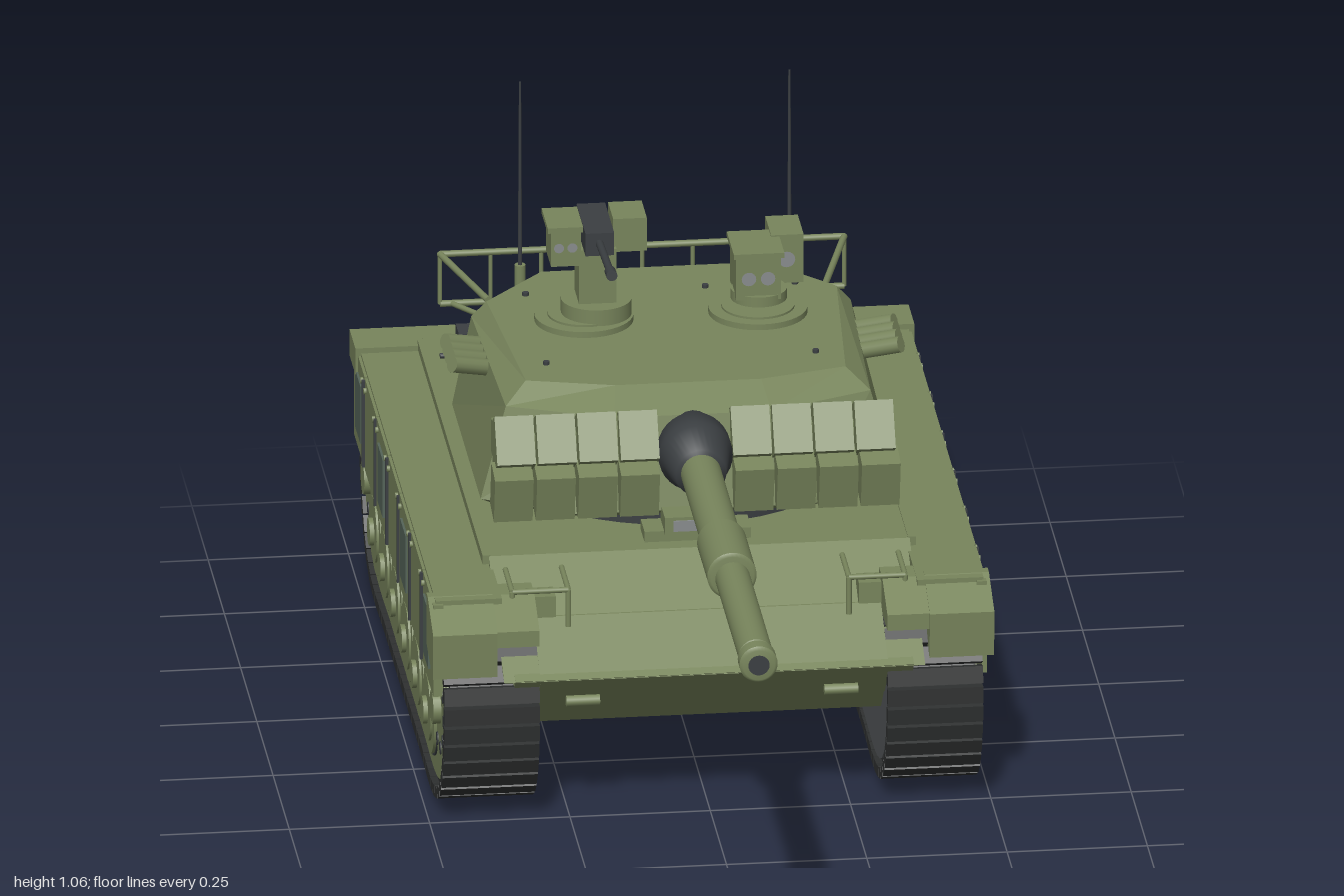
import * as THREE from 'three';

const mat = (name, color, side = THREE.FrontSide) => {
  const m = new THREE.MeshStandardMaterial({ color, side });
  m.name = name;
  return m;
};

export function createModel() {
  const root = new THREE.Group();
  root.name = 'tank';
  const olive = mat('olive paint', 0x78855c);
  const dark = mat('gun metal', 0x3b3f42);
  const rubber = mat('track rubber', 0x2f3131);
  const panelGrey = mat('panel grey', 0x556459);
  const plateGrey = mat('plate grey', 0x54585a);
  const lens = mat('lens grey', 0x888c8d);

  const add = (name, geo, m, x = 0, y = 0, z = 0, parent = root) => {
    const mesh = new THREE.Mesh(geo, m);
    mesh.name = name;
    mesh.position.set(x, y, z);
    parent.add(mesh);
    return mesh;
  };
  // box given by its x, y and z limits
  const box = (name, m, x0, x1, y0, y1, z0, z1) =>
    add(name, new THREE.BoxGeometry(Math.abs(x1 - x0), y1 - y0, z1 - z0), m, (x0 + x1) / 2, (y0 + y1) / 2, (z0 + z1) / 2);
  const cylX = (name, m, r, w, x, y, z, n = 28) =>
    add(name, new THREE.CylinderGeometry(r, r, w, n).rotateZ(Math.PI / 2), m, x, y, z);
  const cylY = (name, m, r, h, x, y, z, n = 32) => add(name, new THREE.CylinderGeometry(r, r, h, n), m, x, y, z);
  // round bar between two points
  const bar = (name, m, a, b, r, r2 = r) => {
    const A = new THREE.Vector3(...a), B = new THREE.Vector3(...b), d = B.clone().sub(A);
    const mesh = add(name, new THREE.CylinderGeometry(r2, r, d.length(), 12), m);
    mesh.position.copy(A).addScaledVector(d, 0.5);
    mesh.quaternion.setFromUnitVectors(new THREE.Vector3(0, 1, 0), d.normalize());
    return mesh;
  };
  // side profile of [z, y] points extruded across x
  const prism = (name, m, pts, w, x = 0) => {
    const shape = new THREE.Shape(pts.map(p => new THREE.Vector2(p[0], p[1])));
    const g = new THREE.ExtrudeGeometry(shape, { depth: w, bevelEnabled: false });
    return add(name, g.translate(0, 0, -w / 2).rotateY(-Math.PI / 2), m, x);
  };
  // symmetric loft: each level is [y, half outline of [x, z] from front to back]
  const loft = (levels) => {
    const rings = levels.map(([y, half]) => [
      ...half.map(([x, z]) => [x, y, z]), ...half.slice().reverse().map(([x, z]) => [-x, y, z])]);
    const v = [], n = rings[0].length;
    const tri = (a, b, c) => v.push(...a, ...b, ...c);
    for (let k = 0; k + 1 < rings.length; k++)
      for (let i = 0; i < n; i++) {
        const j = (i + 1) % n, lo = rings[k], hi = rings[k + 1];
        tri(lo[i], lo[j], hi[j]);
        tri(lo[i], hi[j], hi[i]);
      }
    const top = rings[rings.length - 1], bot = rings[0];
    for (let i = 1; i + 1 < n; i++) {
      tri(top[0], top[i], top[i + 1]);
      tri(bot[0], bot[i + 1], bot[i]);
    }
    const g = new THREE.BufferGeometry();
    g.setAttribute('position', new THREE.Float32BufferAttribute(v, 3));
    g.computeVertexNormals();
    return g;
  };

  // Hull: narrow lower tub, wide upper body with sloped front
  prism('lowerHull', olive, [[0.2, 0.16], [0.32, 0.285], [0.2, 0.36], [-0.95, 0.36], [-0.95, 0.3], [-0.9, 0.16]], 0.62);
  prism('upperHull', olive, [[0.32, 0.285], [0.08, 0.43], [-0.98, 0.425], [-1, 0.41], [-0.98, 0.335], [0.2, 0.335]], 0.75);
  prism('nosePlate', olive, [[0.24, 0.205], [0.32, 0.287], [0.2, 0.345], [0.2, 0.205]], 0.71);

  // Running gear
  const path = new THREE.CatmullRomCurve3([
    [0.14, 0.012], [0.24, 0.06], [0.295, 0.17], [0.285, 0.28], [0.2, 0.345], [0, 0.355], [-0.35, 0.355], [-0.7, 0.355],
    [-0.9, 0.345], [-0.98, 0.28], [-0.99, 0.17], [-0.935, 0.06], [-0.84, 0.012], [-0.6, 0.01], [-0.35, 0.01], [-0.1, 0.01],
  ].map(([z, y]) => new THREE.Vector3(0, y, z)), true);
  const links = 84;
  const inset = d => path.getSpacedPoints(72).slice(0, 72).map(p =>
    [-0.35 + (p.z + 0.35) * (1 - d / 0.65), 0.18 + (p.y - 0.18) * (1 - d / 0.17)]);
  const linkGeo = new THREE.BoxGeometry(0.17, 0.02, 0.031);

  for (const s of [-1, 1]) {
    for (let i = 0; i < links; i++) {
      const p = path.getPointAt(i / links), t = path.getTangentAt(i / links);
      add('trackLink', linkGeo, rubber, s * 0.395, p.y, p.z).rotation.x = -Math.atan2(t.y, t.z);
    }
    prism('trackBelt', rubber, inset(0.004), 0.145, s * 0.395);
    prism('innerTrackPlate', plateGrey, inset(0.022), 0.02, s * 0.322);
    prism('outerTrackPlate', olive, inset(0.02), 0.02, s * 0.462);

    for (let i = 0; i < 6; i++) {
      const z = 0.063 - i * 0.165;
      cylX('wheelRim', dark, 0.087, 0.006, s * 0.472, 0.14, z);
      cylX('roadWheel', olive, 0.083, 0.012, s * 0.474, 0.14, z);
      cylX('wheelDish', olive, 0.06, 0.014, s * 0.477, 0.14, z);
      cylX('wheelHub', olive, 0.025, 0.03, s * 0.477, 0.135, z, 16);
    }
    // Sprocket and idler with a ring of dark holes
    for (const z of [0.185, -0.88]) {
      cylX('endWheel', olive, 0.095, 0.008, s * 0.471, 0.19, z);
      cylX('endWheelHub', olive, 0.03, 0.028, s * 0.475, 0.19, z, 16);
      for (let i = 0; i < 10; i++) {
        const a = i * Math.PI / 5;
        cylX('wheelHole', dark, 0.012, 0.004, s * 0.475, 0.19 + 0.073 * Math.sin(a), z + 0.073 * Math.cos(a), 10);
      }
    }

    // Side skirts with straps and grey inset panels
    const cuts = [0.25, 0.08, -0.1, -0.275, -0.45, -0.63, -0.81, -0.975];
    for (let i = 0; i < 7; i++) {
      box('skirtPanel', olive, s * 0.475, s * 0.493, 0.235, 0.41, cuts[i + 1] + 0.003, cuts[i] - 0.003);
      if (i) box('skirtStrap', dark, s * 0.476, s * 0.498, 0.24, 0.405, cuts[i] - 0.004, cuts[i] + 0.004);
      if (i % 2 === 0) {
        const c = [0.16, 0, -0.19, 0, -0.54, 0, -0.885][i];
        box('skirtInset', panelGrey, s * 0.492, s * 0.497, 0.27, 0.38, c - 0.042, c + 0.042);
      }
      for (const z of [cuts[i] - 0.025, cuts[i + 1] + 0.025])
        cylX('skirtBolt', olive, 0.006, 0.008, s * 0.494, 0.395, z, 8);
    }
    // Fenders: long shelf, sloped front guard, rear corner box
    box('fender', olive, s * 0.37, s * 0.488, 0.38, 0.415, -0.98, 0.24);
    box('fenderRail', olive, s * 0.372, s * 0.386, 0.41, 0.432, -0.92, 0.08);
    prism('frontGuard', olive, [[0.3, 0.345], [0.3, 0.375], [0.22, 0.414], [0.17, 0.414], [0.17, 0.345]], 0.17, s * 0.395);
    prism('frontGuardSide', olive, [[0.3, 0.29], [0.305, 0.375], [0.22, 0.416], [0.2, 0.416], [0.2, 0.32]], 0.115, s * 0.4425);
    box('rearCornerBox', olive, s * 0.31, s * 0.498, 0.375, 0.425, -1, -0.91);

    // Headlight guard, lamp and tow hook on the bow
    for (const [a, b] of [[[0.25, 0.35, 0.225], [0.25, 0.42, 0.225]], [[0.25, 0.42, 0.225], [0.35, 0.42, 0.225]],
      [[0.35, 0.42, 0.225], [0.35, 0.35, 0.225]], [[0.25, 0.42, 0.225], [0.25, 0.42, 0.12]], [[0.35, 0.42, 0.225], [0.35, 0.42, 0.12]]])
      bar('lampGuard', olive, [s * a[0], a[1], a[2]], [s * b[0], b[1], b[2]], 0.005);
    box('headlamp', olive, s * 0.27, s * 0.33, 0.36, 0.4, 0.16, 0.205);
    bar('towHook', olive, [s * 0.2, 0.228, 0.275], [s * 0.26, 0.228, 0.275], 0.01);

    // Rear deck louvres and dark stowage box
    for (let i = 0; i < 11; i++) box('louvre', olive, s * 0.15, s * 0.3, 0.42, 0.452, -0.885 + i * 0.019, -0.874 + i * 0.019);
    box('deckBox', dark, s * 0.19, s * 0.325, 0.455, 0.485, -0.86, -0.81);
    bar('deckRod', dark, [s * 0.03, 0.45, -0.8], [s * 0.36, 0.45, -0.8], 0.005);
  }

  // Turret
  cylY('turretRing', dark, 0.325, 0.06, 0, 0.45, -0.35, 48);
  add('turretBody', loft([
    [0.465, [[0.2, 0], [0.35, -0.08], [0.35, -0.5], [0.21, -0.68]]],
    [0.478, [[0.21, 0.02], [0.372, -0.07], [0.372, -0.51], [0.22, -0.7]]],
    [0.645, [[0.14, -0.015], [0.325, -0.09], [0.338, -0.51], [0.215, -0.652]]],
    [0.676, [[0.13, -0.09], [0.285, -0.13], [0.312, -0.5], [0.2, -0.625]]],
  ]), olive);

  // Two rows of armour blocks either side of the gun
  for (const s of [-1, 1]) {
    for (let i = 0; i < 4; i++) {
      const x = s * (0.1 + i * 0.0735);
      add('upperArmourBlock', new THREE.BoxGeometry(0.069, 0.088, 0.06), olive, x, 0.608, -0.008).rotation.x = -0.55;
      add('lowerArmourBlock', new THREE.BoxGeometry(0.069, 0.088, 0.06), olive, x * 1.02, 0.528, 0.022).rotation.x = 0.22;
    }
    box('armourBracket', olive, s * 0.06, s * 0.35, 0.5, 0.62, -0.1, -0.01);
    // Smoke launchers
    for (let i = 0; i < 4; i++) {
      const z = -0.29 - i * 0.035;
      bar('smokeLauncher', olive, [s * 0.325, 0.628, z - 0.02], [s * 0.4, 0.655, z + 0.02], 0.015);
    }
    // Aerial
    cylY('aerialBase', olive, 0.01, 0.04, s * 0.24, 0.68, -0.605, 12);
    bar('aerial', dark, [s * 0.24, 0.68, -0.605], [s * 0.24, 1.05, -0.605], 0.004, 0.002);
    // Basket side rails
    bar('basketSideRail', olive, [s * 0.3, 0.645, -0.58], [s * 0.36, 0.645, -0.8], 0.006);
    bar('basketStrut', olive, [s * 0.25, 0.56, -0.65], [s * 0.34, 0.55, -0.8], 0.005);
  }
  for (const y of [0.645, 0.55]) bar('basketRail', olive, [-0.36, y, -0.8], [0.36, y, -0.8], 0.006);
  for (let i = 0; i < 9; i++) bar('basketPost', olive, [-0.36 + i * 0.09, 0.55, -0.8], [-0.36 + i * 0.09, 0.645, -0.8], 0.004);
  box('bowSensor', olive, -0.06, 0.06, 0.452, 0.484, 0, 0.07);
  box('bowSensorLens', lens, -0.045, 0.045, 0.458, 0.478, 0.068, 0.073);
  box('bowSensorStep', olive, -0.095, 0.095, 0.435, 0.455, 0, 0.06);

  // Main gun: collar, stepped barrel and bore
  const lathe = (name, m, pts) => add(name, new THREE.LatheGeometry(
    pts.map(([r, z]) => new THREE.Vector2(r, z)), 32).rotateX(Math.PI / 2), m, 0, 0.583, 0);
  lathe('mantlet', dark, [[0, -0.06], [0.066, -0.06], [0.066, 0.03], [0.06, 0.035], [0.045, 0.11], [0, 0.11]]);
  const steps = [[0.036, 0.1, 0.42], [0.044, 0.42, 0.59], [0.031, 0.59, 0.96], [0.034, 0.96, 1]];
  for (const [r, a, b] of steps) {
    const c = Math.min(0.006, r);
    lathe('barrel', olive, [[0, a], [r - c, a], [r, a + c]]);
    lathe('barrel', olive, [[r, a + c], [r, b - c]]);
    lathe('barrel', olive, [[r, b - c], [r - c, b], [0, b]]);
  }
  add('bore', new THREE.CircleGeometry(0.019, 24), dark, 0, 0.583, 1.0005);

  // Roof hatches
  for (const x of [-0.15, 0.16]) {
    cylY('hatchRing', olive, 0.088, 0.02, x, 0.677, -0.4, 40);
    cylY('hatchLid', olive, 0.065, 0.02, x, 0.681, -0.4, 40);
  }
  for (const [x, z] of [[-0.24, -0.2], [0.24, -0.2], [-0.24, -0.52], [0.24, -0.52], [-0.08, -0.52], [0.08, -0.52]])
    cylY('roofBolt', dark, 0.006, 0.008, x, 0.678, z, 8);

  // Remote weapon station
  cylY('stationBase', olive, 0.063, 0.03, -0.128, 0.702, -0.4);
  box('stationPost', olive, -0.162, -0.095, 0.71, 0.82, -0.44, -0.37);
  box('stationSight', olive, -0.213, -0.16, 0.795, 0.867, -0.44, -0.36);
  box('stationSightHood', olive, -0.22, -0.157, 0.863, 0.873, -0.445, -0.35);
  box('ammoBox', olive, -0.1, -0.04, 0.81, 0.873, -0.46, -0.38);
  box('gunReceiver', dark, -0.155, -0.104, 0.825, 0.868, -0.47, -0.33);
  bar('gunBarrel', dark, [-0.13, 0.848, -0.34], [-0.13, 0.864, -0.14], 0.007);
  bar('gunMuzzle', dark, [-0.13, 0.862, -0.17], [-0.13, 0.865, -0.14], 0.01);

  // Gunner's sight
  cylY('sightBase', olive, 0.05, 0.03, 0.165, 0.695, -0.43);
  box('sightBody', olive, 0.12, 0.2, 0.702, 0.787, -0.48, -0.39);
  box('sightHood', olive, 0.115, 0.205, 0.784, 0.794, -0.49, -0.38);
  box('sightSideBody', olive, 0.19, 0.248, 0.705, 0.797, -0.545, -0.455);
  for (const [x, y, z, r] of [[0.143, 0.742, -0.389, 0.013], [0.177, 0.742, -0.389, 0.013], [0.218, 0.75, -0.454, 0.015],
    [-0.199, 0.83, -0.359, 0.009], [-0.175, 0.83, -0.359, 0.009]])
    add('sightLens', new THREE.CircleGeometry(r, 16), lens, x, y, z);

  return root;
}
